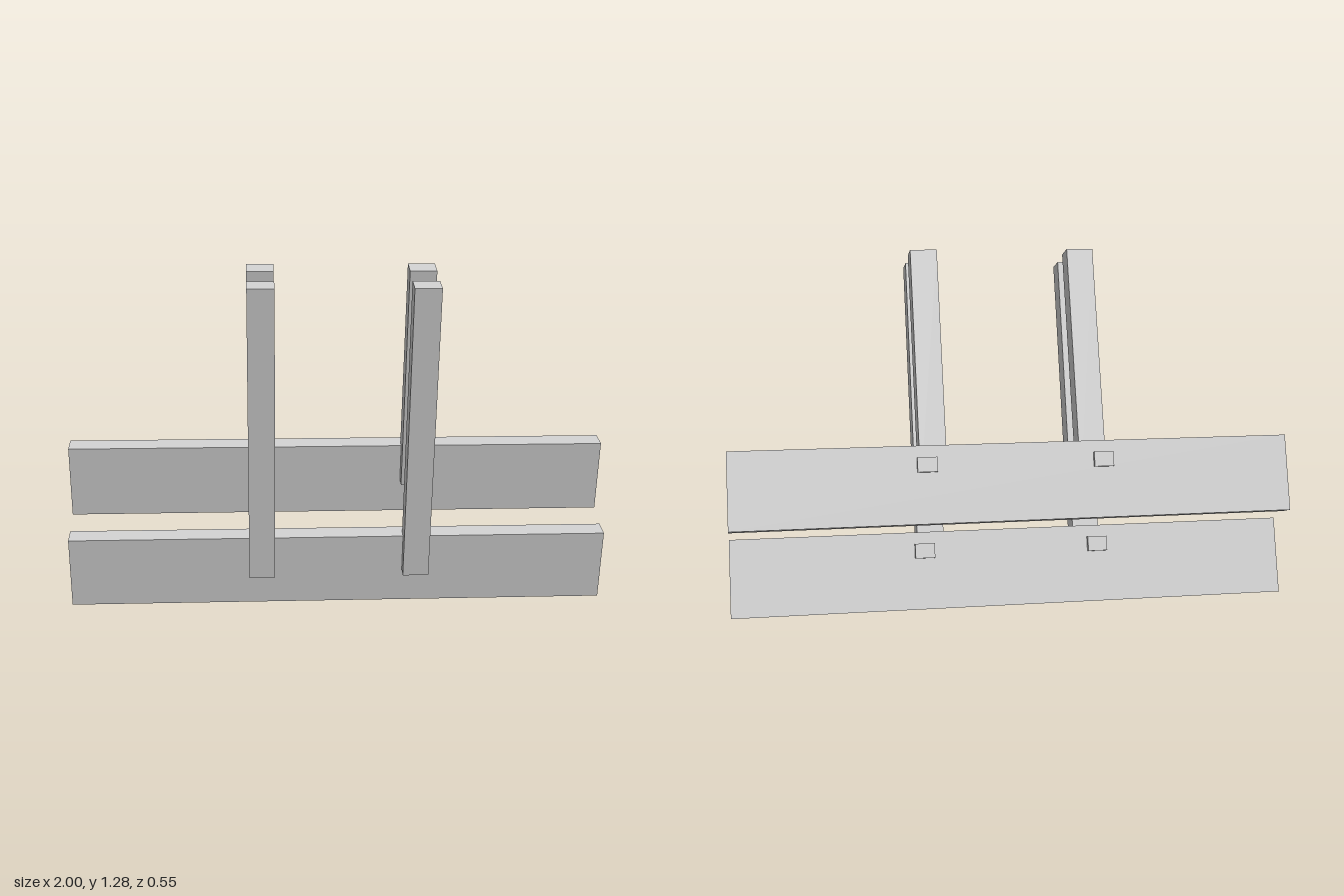
import * as THREE from 'three';

const material = new THREE.MeshStandardMaterial({ color: 0xcccccc, flatShading: true });

// Box leaning forward by `lean`, placed by its front top edge (y, z) and its middle x
function beam(name, x, y, z, lean, width, length, depth) {
  const mesh = new THREE.Mesh(new THREE.BoxGeometry(width, length, depth), material);
  const s = Math.sin(lean), c = Math.cos(lean);
  mesh.name = name;
  mesh.rotation.x = lean;
  mesh.position.set(x, y - c * length / 2 + s * depth / 2, z - s * length / 2 - c * depth / 2);
  return mesh;
}

export function createModel() {
  const model = new THREE.Group();
  model.name = 'plankBench';

  // Two long tilted planks
  model.add(
    beam('lowerPlank', 0, 0.264, -0.044, 0.275, 2, 0.274, 0.074),
    beam('upperPlank', 0, 0.592, -0.131, 0.275, 2, 0.274, 0.074)
  );

  for (const [side, label] of [[1, 'left'], [-1, 'right']]) {
    // Leaning posts let into the front of the planks
    model.add(
      beam(label + 'FrontPost', side * 0.287, 1.205, 0.276, 0.282, 0.096, 1.136, 0.078),
      beam(label + 'BackPost', side * 0.287, 1.257, 0.126, 0.302, 0.096, 0.853, 0.078)
    );
    // Small pegs standing out from the back of the planks
    model.add(
      beam(label + 'LowerPeg', side * 0.315, 0.238, -0.105, 0.272, 0.07, 0.052, 0.04),
      beam(label + 'UpperPeg', side * 0.315, 0.565, -0.19, 0.272, 0.07, 0.052, 0.04)
    );
  }
  return model;
}
